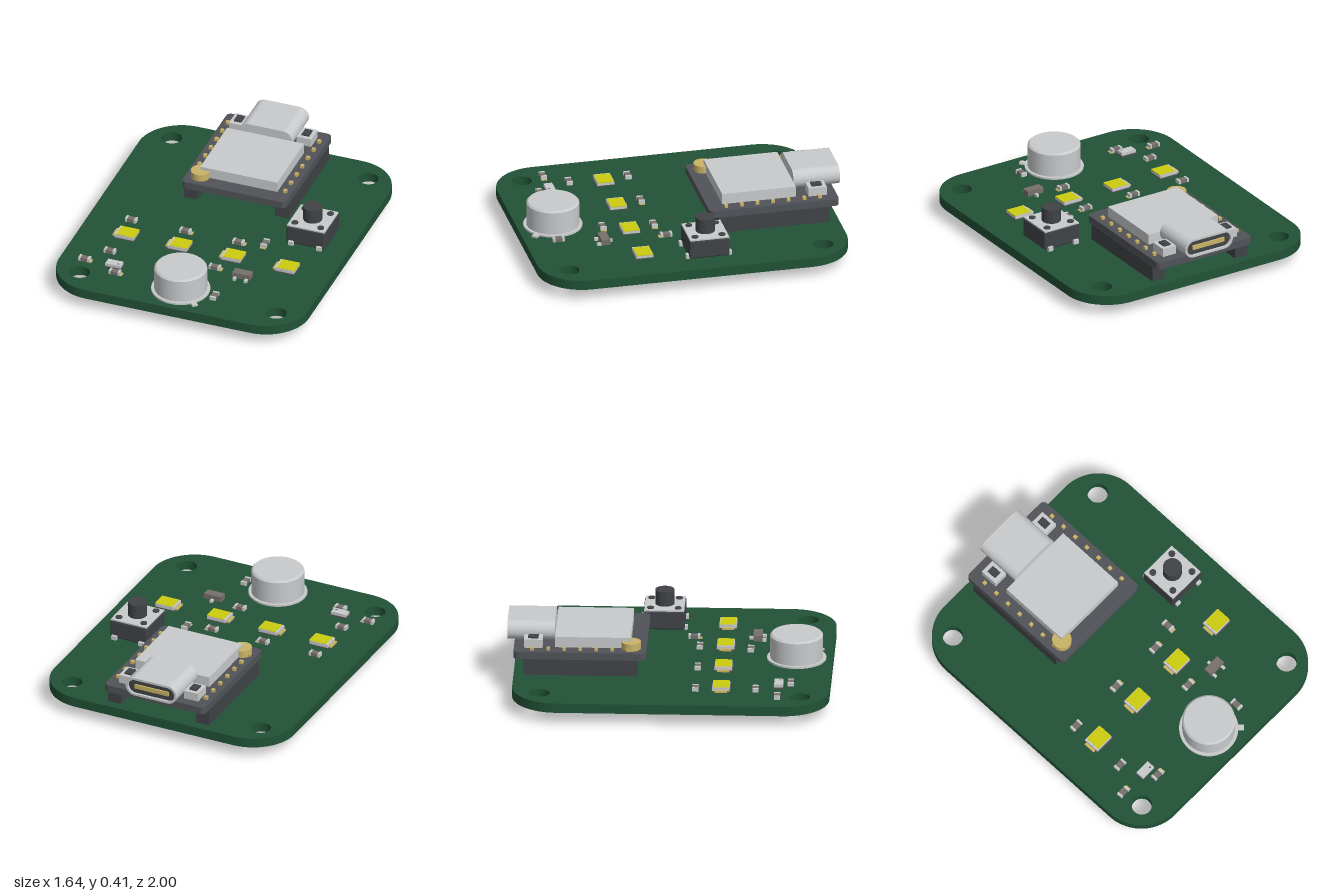
import * as THREE from 'three';
import { RoundedBoxGeometry } from 'three/addons/geometries/RoundedBoxGeometry.js';

const mat = (name, color) => new THREE.MeshStandardMaterial({ name, color });

export function createModel() {
  const root = new THREE.Group();
  root.name = 'circuitBoard';
  const green = mat('solder mask green', 0x215236);
  const silver = mat('silver metal', 0xc8cacc);
  const charcoal = mat('charcoal board', 0x505358);
  const black = mat('dark plastic', 0x404347);
  const gold = mat('gold contact', 0xc9b466);
  const yellow = mat('phosphor yellow', 0xcccc10);
  const ceramic = mat('resistor grey', 0x77706c);

  const TOP = 0.138, BOTTOM = 0.077;

  const add = (parent, name, geometry, material, x = 0, y = 0, z = 0) => {
    const mesh = new THREE.Mesh(geometry, material);
    mesh.name = name;
    mesh.position.set(x, y, z);
    parent.add(mesh);
    return mesh;
  };
  // Box and cylinder placed by their bottom and top heights
  const box = (parent, name, m, x, z, w, d, y0, y1) =>
    add(parent, name, new THREE.BoxGeometry(w, y1 - y0, d), m, x, (y0 + y1) / 2, z);
  const disc = (parent, name, m, x, z, r, y0, y1, sides = 32) =>
    add(parent, name, new THREE.CylinderGeometry(r, r, y1 - y0, sides), m, x, (y0 + y1) / 2, z);
  const group = (name, x = 0, z = 0, parent = root) => {
    const g = new THREE.Group();
    g.name = name;
    g.position.set(x, 0, z);
    parent.add(g);
    return g;
  };

  // Rounded rectangle centred on (cx, cy)
  const trace = (path, w, h, r, cx = 0, cy = 0) => {
    const a = w / 2 - r, b = h / 2 - r;
    path.absarc(cx + a, cy + b, r, 0, Math.PI / 2);
    path.absarc(cx - a, cy + b, r, Math.PI / 2, Math.PI);
    path.absarc(cx - a, cy - b, r, Math.PI, Math.PI * 1.5);
    path.absarc(cx + a, cy - b, r, Math.PI * 1.5, Math.PI * 2);
    path.closePath();
    return path;
  };
  const extrude = (shape, depth) =>
    new THREE.ExtrudeGeometry(shape, { depth, bevelEnabled: false, curveSegments: 16 });
  const slab = (shape, depth) => extrude(shape, depth).rotateX(-Math.PI / 2);

  // Main board with four mounting holes
  const outline = trace(new THREE.Shape(), 1.64, 1.95, 0.28, 0, -0.02);
  for (const x of [-0.645, 0.645]) for (const z of [-0.783, 0.818]) {
    outline.holes.push(new THREE.Path().absarc(x, -z, 0.063, 0, Math.PI * 2, true));
  }
  add(root, 'mainBoard', slab(outline, TOP - BOTTOM), green, 0, BOTTOM);

  // Plug-in controller module
  const module = group('controllerModule');
  const M = 0.286;
  add(module, 'moduleBoard', slab(trace(new THREE.Shape(), 0.685, 0.815, 0.03, 0, 0.548), 0.046), charcoal, 0, 0.24);
  for (const s of [-1, 1]) {
    box(module, 'headerStrip', black, s * 0.3, -0.545, 0.09, 0.7, TOP, 0.24);
    for (let i = 0; i < 7; i++) {
      const z = -0.842 + i * 0.0985;
      box(module, 'headerPin', gold, s * 0.3, z, 0.022, 0.022, 0.068, 0.305);
    }
    box(module, 'sideButtonBody', silver, s * 0.222, -0.837, 0.095, 0.115, M, 0.34);
    box(module, 'sideButtonCap', black, s * 0.222, -0.837, 0.048, 0.064, 0.34, 0.35);
  }
  box(module, 'shieldCan', silver, 0, -0.47, 0.505, 0.465, M, 0.354);
  disc(module, 'goldTerminal', gold, -0.25, -0.235, 0.06, M, 0.332);

  // Oval socket: hollow shell, dark lining, contact tongue
  const socketShape = trace(new THREE.Shape(), 0.345, 0.122, 0.06);
  socketShape.holes.push(trace(new THREE.Path(), 0.315, 0.094, 0.046));
  add(module, 'socketShell', extrude(socketShape, 0.29), silver, 0, 0.348, -1);
  add(module, 'socketLining', extrude(trace(new THREE.Shape(), 0.317, 0.096, 0.047), 0.27), black, 0, 0.348, -0.985);
  add(module, 'socketBack', extrude(trace(new THREE.Shape(), 0.345, 0.122, 0.06), 0.005), silver, 0, 0.348, -0.712);
  add(module, 'socketTongue', new THREE.BoxGeometry(0.23, 0.028, 0.05), gold, 0, 0.348, -0.97);

  // Push button
  const button = group('pushButton', 0.552, -0.061);
  add(button, 'buttonBody', new RoundedBoxGeometry(0.254, 0.122, 0.254, 2, 0.012), black, 0, 0.204, 0);
  box(button, 'buttonPlate', silver, 0, 0, 0.246, 0.246, 0.255, 0.27);
  disc(button, 'buttonPlunger', black, 0, 0, 0.059, 0.27, 0.362);
  for (const x of [-1, 1]) for (const z of [-1, 1]) {
    disc(button, 'buttonRivet', black, x * 0.085, z * 0.085, 0.021, 0.268, 0.277, 16);
    box(button, 'buttonLeg', silver, x * 0.092, z * 0.134, 0.034, 0.02, TOP, 0.165);
    box(button, 'buttonPin', gold, x * 0.092, z * 0.134, 0.026, 0.014, 0.068, TOP);
  }

  // Row of lamps
  for (const x of [-0.525, -0.177, 0.174, 0.528]) {
    const lamp = group('lamp', x, 0.33);
    box(lamp, 'lampBase', charcoal, 0.005, 0, 0.132, 0.118, TOP, 0.143);
    box(lamp, 'lampBody', silver, 0.005, 0, 0.125, 0.106, 0.143, 0.163);
    box(lamp, 'lampTerminal', gold, -0.068, 0, 0.018, 0.075, TOP, 0.15);
    box(lamp, 'lampLens', yellow, 0.013, 0, 0.116, 0.098, 0.161, 0.166);
  }

  // Chip resistors: x, z, upright, gold pad on one end
  const chips = [
    [-0.55, 0.172, 0, 0], [-0.195, 0.172, 0, 1], [0.153, 0.172, 0, 1], [0.312, 0.13, 1, 1],
    [0.116, 0.486, 0, 1], [-0.55, 0.543, 0, 0], [-0.665, 0.68, 0, 1], [-0.438, 0.754, 0, 1], [0.228, 0.79, 1, 0],
  ];
  for (const [x, z, upright, pad] of chips) {
    const chip = group('chipResistor', x, z);
    chip.rotation.y = upright ? -Math.PI / 2 : 0;
    box(chip, 'resistorCore', ceramic, 0, 0, 0.045, 0.037, TOP, 0.16);
    for (const s of [-1, 1]) box(chip, 'resistorEnd', silver, s * 0.029, 0, 0.014, 0.039, TOP, 0.162);
    if (pad) box(chip, 'solderPad', gold, 0.043, 0, 0.013, 0.036, TOP, 0.142);
  }

  // Transistor with three legs
  const transistor = group('transistor', 0.311, 0.522);
  box(transistor, 'transistorBody', ceramic, 0, 0, 0.115, 0.055, 0.145, 0.18);
  for (const [x, z] of [[-0.037, 0.04], [0.037, 0.04], [0, -0.04]]) {
    box(transistor, 'transistorLeg', silver, x, z, 0.018, 0.026, TOP, 0.155);
  }

  // Small sensor chip
  const sensor = group('sensorChip', -0.47, 0.682);
  box(sensor, 'sensorBase', charcoal, 0, 0, 0.108, 0.06, TOP, 0.148);
  box(sensor, 'sensorLid', silver, 0, 0, 0.1, 0.055, 0.148, 0.167);
  disc(sensor, 'sensorPort', charcoal, 0.03, 0.01, 0.006, 0.165, 0.168, 12);

  // Metal can sensor with flange, tab and three leads
  const can = group('metalCan', 0, 0.772);
  const profile = [[0, TOP], [0.182, TOP], [0.182, 0.15], [0.163, 0.15], [0.163, 0.294], [0.152, 0.305], [0, 0.305]];
  // Repeated corner points keep the turned edges crisp
  for (let i = 0; i < profile.length - 1; i++) {
    const pair = [profile[i], profile[i + 1]].map(([r, y]) => new THREE.Vector2(r, y));
    add(can, 'canShell', new THREE.LatheGeometry(pair, 48), silver);
  }
  const tab = box(can, 'canTab', silver, 0.136, 0.136, 0.05, 0.035, TOP, 0.15);
  tab.rotation.y = -Math.PI / 4;
  for (const [x, z] of [[-0.1, 0.003], [0, -0.094], [0.1, 0.003]]) {
    disc(can, 'canLead', silver, x, z, 0.009, 0, TOP, 12);
  }

  return root;
}
